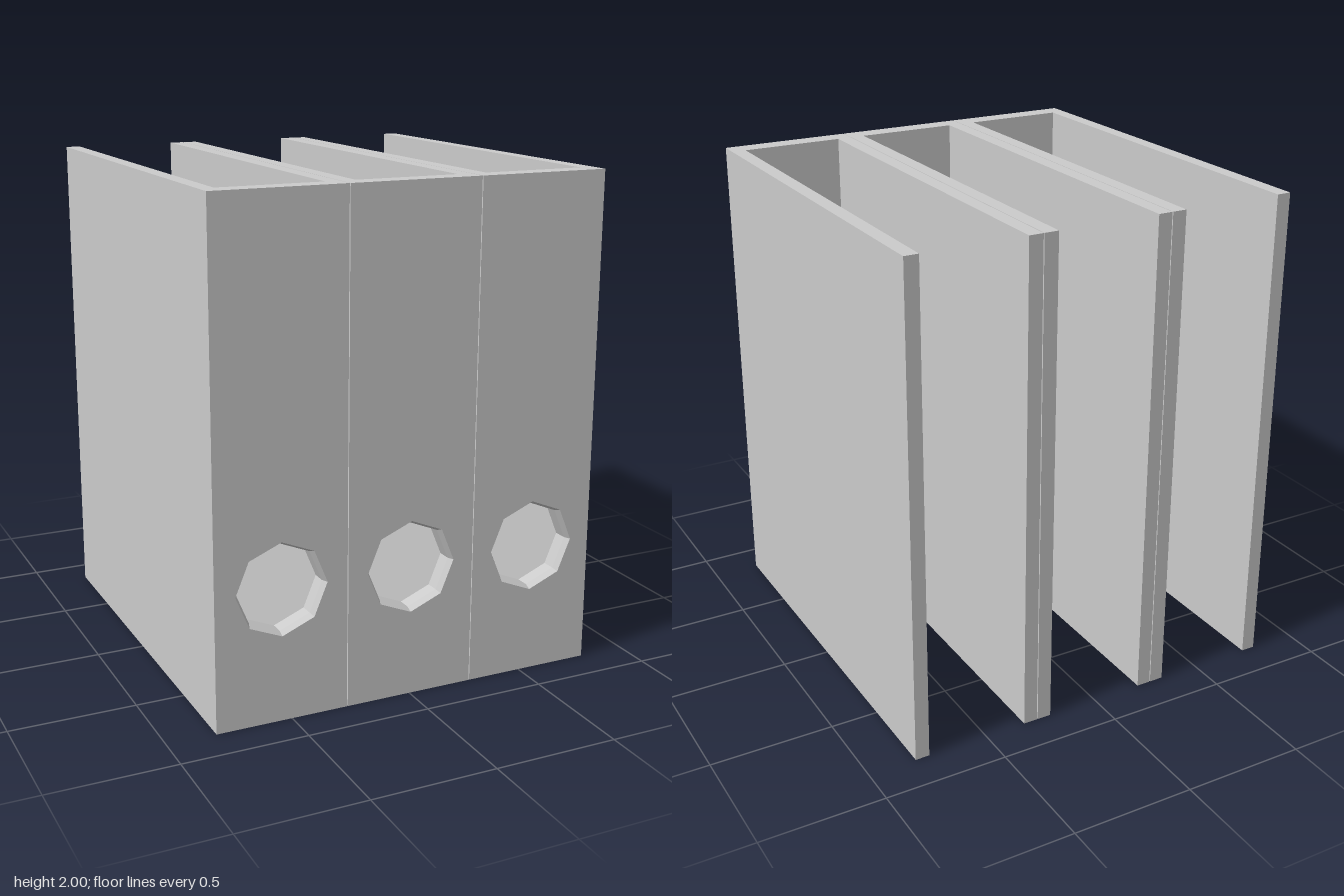
import * as THREE from 'three';

const HEIGHT = 2, DEPTH = 1.7, WIDTH = 0.535, PITCH = 0.5385;
const COVER = 0.058, SPINE = 0.08;
const HOLE_Y = 0.526, HOLE_R = 0.185, RIM_R = 0.173;

const material = new THREE.MeshStandardMaterial({ color: 0xcccccc, flatShading: true, side: THREE.DoubleSide });

function part(name, geometry, x, y, z) {
  const mesh = new THREE.Mesh(geometry, material);
  mesh.name = name;
  mesh.position.set(x, y, z);
  return mesh;
}

// Spine board with an eight-sided finger hole
function spineGeometry() {
  const w = WIDTH / 2 - COVER;
  const shape = new THREE.Shape([[-w, 0], [w, 0], [w, HEIGHT], [-w, HEIGHT]].map(p => new THREE.Vector2(...p)));
  const hole = [];
  for (let i = 0; i < 8; i++) {
    const a = -i * Math.PI / 4;
    hole.push(new THREE.Vector2(HOLE_R * Math.cos(a), HOLE_Y + HOLE_R * Math.sin(a)));
  }
  shape.holes.push(new THREE.Path(hole));
  return new THREE.ExtrudeGeometry(shape, { depth: SPINE, bevelEnabled: false });
}

// Lining of the hole, chamfered towards the front
function rimGeometry() {
  const profile = [[HOLE_R, SPINE], [RIM_R, SPINE - 0.025], [RIM_R, 0], [HOLE_R, 0]];
  return new THREE.LatheGeometry(profile.map(p => new THREE.Vector2(...p)), 8).rotateX(Math.PI / 2);
}

function createBinder() {
  const binder = new THREE.Group();
  const cover = new THREE.BoxGeometry(COVER, HEIGHT, DEPTH);
  const coverX = (WIDTH - COVER) / 2;
  const spineZ = DEPTH / 2 - SPINE;
  binder.add(
    part('leftCover', cover, coverX, HEIGHT / 2, 0),
    part('rightCover', cover, -coverX, HEIGHT / 2, 0),
    part('spine', spineGeometry(), 0, 0, spineZ),
    part('fingerHoleRim', rimGeometry(), 0, HOLE_Y, spineZ)
  );
  return binder;
}

export function createModel() {
  const model = new THREE.Group();
  model.name = 'ringBinders';
  // Three binders side by side with a hairline gap
  ['rightBinder', 'middleBinder', 'leftBinder'].forEach((name, i) => {
    const binder = createBinder();
    binder.name = name;
    binder.position.x = (i - 1) * PITCH;
    model.add(binder);
  });
  return model;
}
